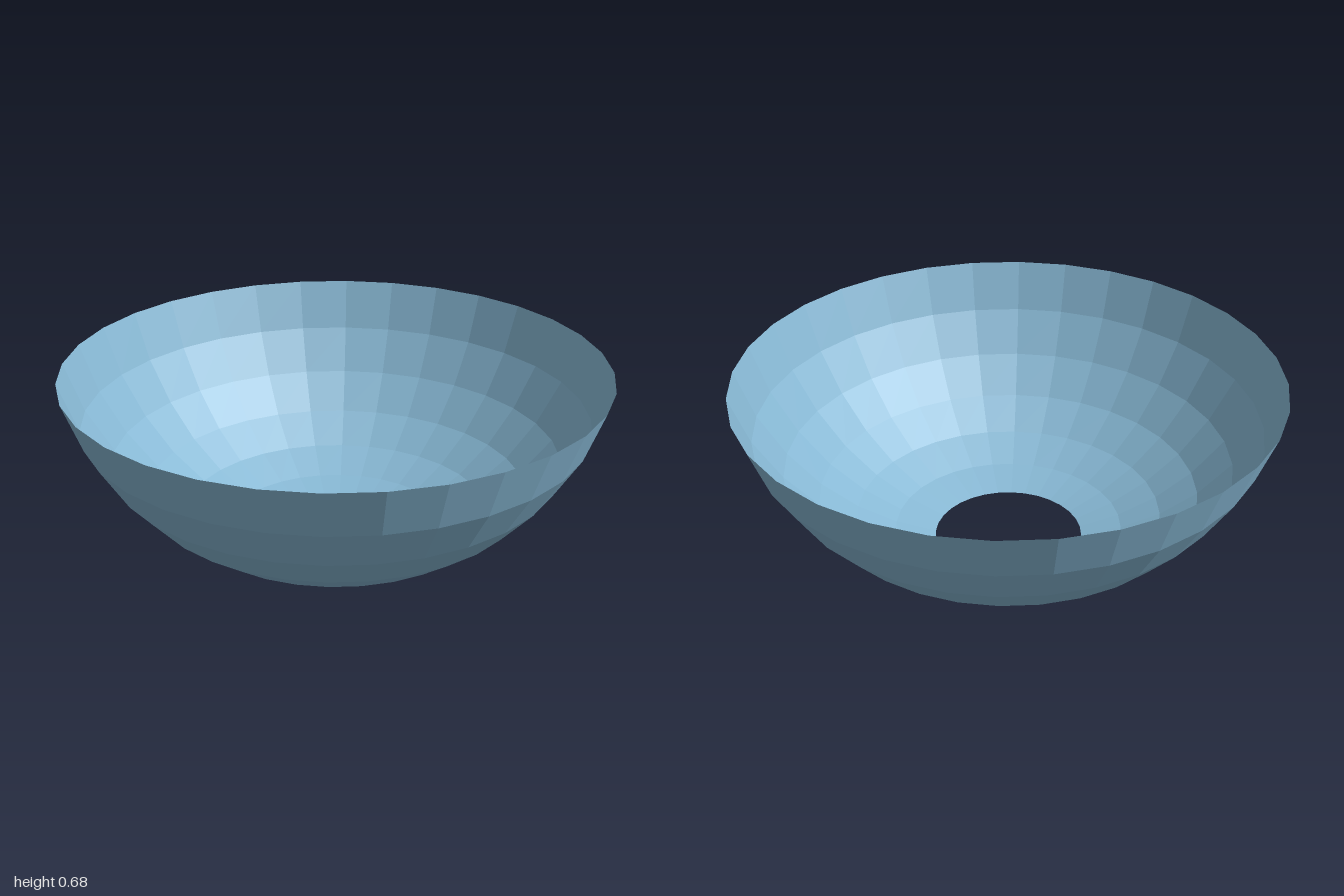
import * as THREE from 'three';

export function createModel() {
  const model = new THREE.Group();
  model.name = 'bowl';

  // Profile from the open base ring up to the rim: radius, height
  const profile = [
    [0.28, 0], [0.43, 0.04], [0.575, 0.107], [0.71, 0.205],
    [0.83, 0.337], [0.93, 0.497], [1, 0.682],
  ].map(([r, y]) => new THREE.Vector2(r, y));

  // Thin faceted shell, open at the top and bottom
  const shell = new THREE.Mesh(
    new THREE.LatheGeometry(profile, 32),
    new THREE.MeshStandardMaterial({ color: 0x87b8d4, flatShading: true, side: THREE.DoubleSide }),
  );
  shell.name = 'bowlShell';
  model.add(shell);

  return model;
}
